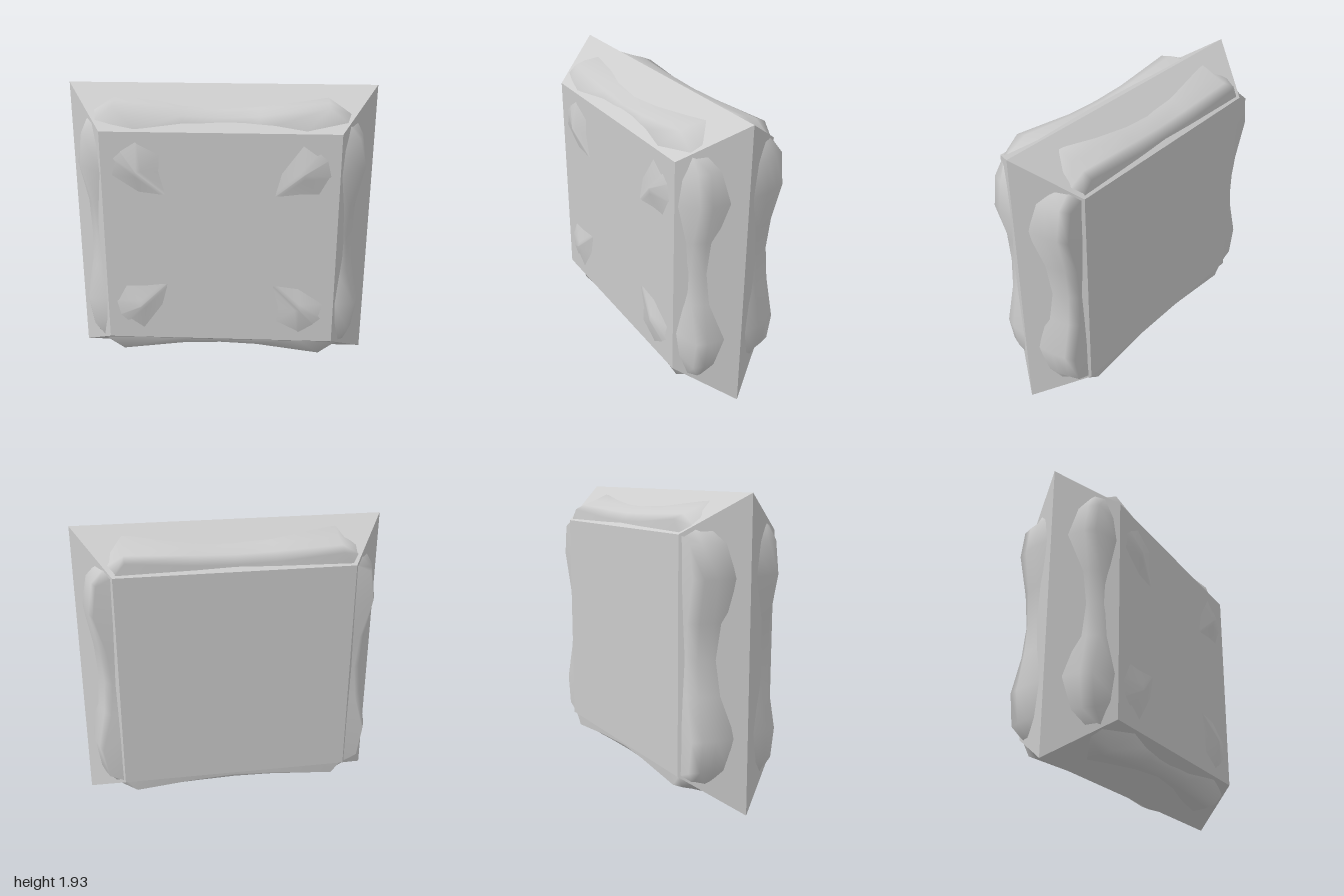
import * as THREE from 'three';

const CY = 0.965; // height of the centre

// Block whose four sides slope to a sharp ridge around the middle
function bevelledBlock() {
  const box = new THREE.BoxGeometry(2, 2 * CY, 2, 1, 1, 2);
  const p = box.attributes.position;
  for (let i = 0; i < p.count; i++) {
    const z = p.getZ(i);
    if (Math.abs(z) < 0.01) p.setZ(i, -0.02);
    else p.setXYZ(i, p.getX(i) * 0.758, p.getY(i) * 0.757, z > 0 ? 0.33 : -0.36);
  }
  const g = box.toNonIndexed();
  g.computeVertexNormals();
  return g;
}

// One quarter of a ring, from the middle of the side to the middle of the top.
// side / top: [middle, shoulder, lump] distances; corner: [x, y]
function quarter(z, side, corner, top, zMid = z) {
  return [
    [side[0], 0, zMid], [side[1], 0.22, (z + zMid) / 2], [side[2], 0.48, z], [side[2] - 0.03, 0.68, z],
    [corner[0], corner[1], z],
    [0.68, top[2], z], [0.25, top[1], (z + zMid) / 2], [0, top[0], zMid],
  ];
}

// Mirror a quarter into a full counter-clockwise ring
function fullRing(q) {
  const back = q.slice(1).reverse();
  return [
    ...q.slice(0, -1),
    ...back.map(([x, y, z]) => [-x, y, z]),
    ...q.slice(0, -1).map(([x, y, z]) => [-x, -y, z]),
    ...back.map(([x, y, z]) => [x, -y, z]),
  ];
}

// Soft lumpy cushion that swells near the corners and pokes through the block
function lumpyCushion() {
  const rings = [
    // bumps on the front
    [[0.5, 0, 0.27], [0.51, 0.2, 0.29], [0.53, 0.44, 0.36], [0.535, 0.475, 0.368],
      [0.53, 0.48, 0.37], [0.5, 0.48, 0.362], [0.22, 0.46, 0.28], [0, 0.45, 0.27]],
    [[0.76, 0, 0.27], [0.76, 0.2, 0.29], [0.765, 0.45, 0.315], [0.75, 0.6, 0.31],
      [0.69, 0.68, 0.305], [0.53, 0.735, 0.315], [0.22, 0.73, 0.285], [0, 0.73, 0.27]],
    // front lumps
    quarter(0.25, [0.826, 0.84, 0.907], [0.80, 0.78], [0.805, 0.815, 0.872]),
    quarter(0.18, [0.868, 0.877, 0.932], [0.84, 0.815], [0.838, 0.848, 0.893]),
    quarter(0.06, [0.89, 0.90, 0.942], [0.85, 0.82], [0.86, 0.87, 0.902]),
    // back lumps
    quarter(-0.10, [0.91, 0.92, 0.952], [0.85, 0.82], [0.88, 0.89, 0.912]),
    quarter(-0.20, [0.88, 0.89, 0.94], [0.84, 0.81], [0.848, 0.852, 0.87]),
    quarter(-0.28, [0.85, 0.865, 0.915], [0.80, 0.775], [0.815, 0.822, 0.842]),
    quarter(-0.345, [0.80, 0.82, 0.888], [0.75, 0.73], [0.765, 0.775, 0.812], -0.328),
  ].map(fullRing);

  const n = rings[0].length;
  const verts = rings.flat(2);
  const index = [];
  for (let k = 0; k < rings.length - 1; k++) {
    for (let i = 0; i < n; i++) {
      const a = k * n + i, b = k * n + (i + 1) % n;
      index.push(a, a + n, b, b, a + n, b + n);
    }
  }
  // caps, hidden inside the block
  const front = verts.length / 3, last = (rings.length - 1) * n;
  verts.push(0, 0, 0.25, 0, 0, -0.32);
  for (let i = 0; i < n; i++) {
    const j = (i + 1) % n;
    index.push(front, i, j, front + 1, last + j, last + i);
  }
  const g = new THREE.BufferGeometry();
  g.setAttribute('position', new THREE.Float32BufferAttribute(verts, 3));
  g.setIndex(index);
  g.computeVertexNormals();
  return g;
}

export function createModel() {
  const group = new THREE.Group();
  const add = (name, geometry, flatShading) => {
    const mesh = new THREE.Mesh(geometry, new THREE.MeshStandardMaterial({ color: 0xcccccc, flatShading }));
    mesh.name = name;
    mesh.position.y = CY;
    group.add(mesh);
  };
  add('bevelledBlock', bevelledBlock(), true);
  add('lumpyCushion', lumpyCushion(), false);
  return group;
}
